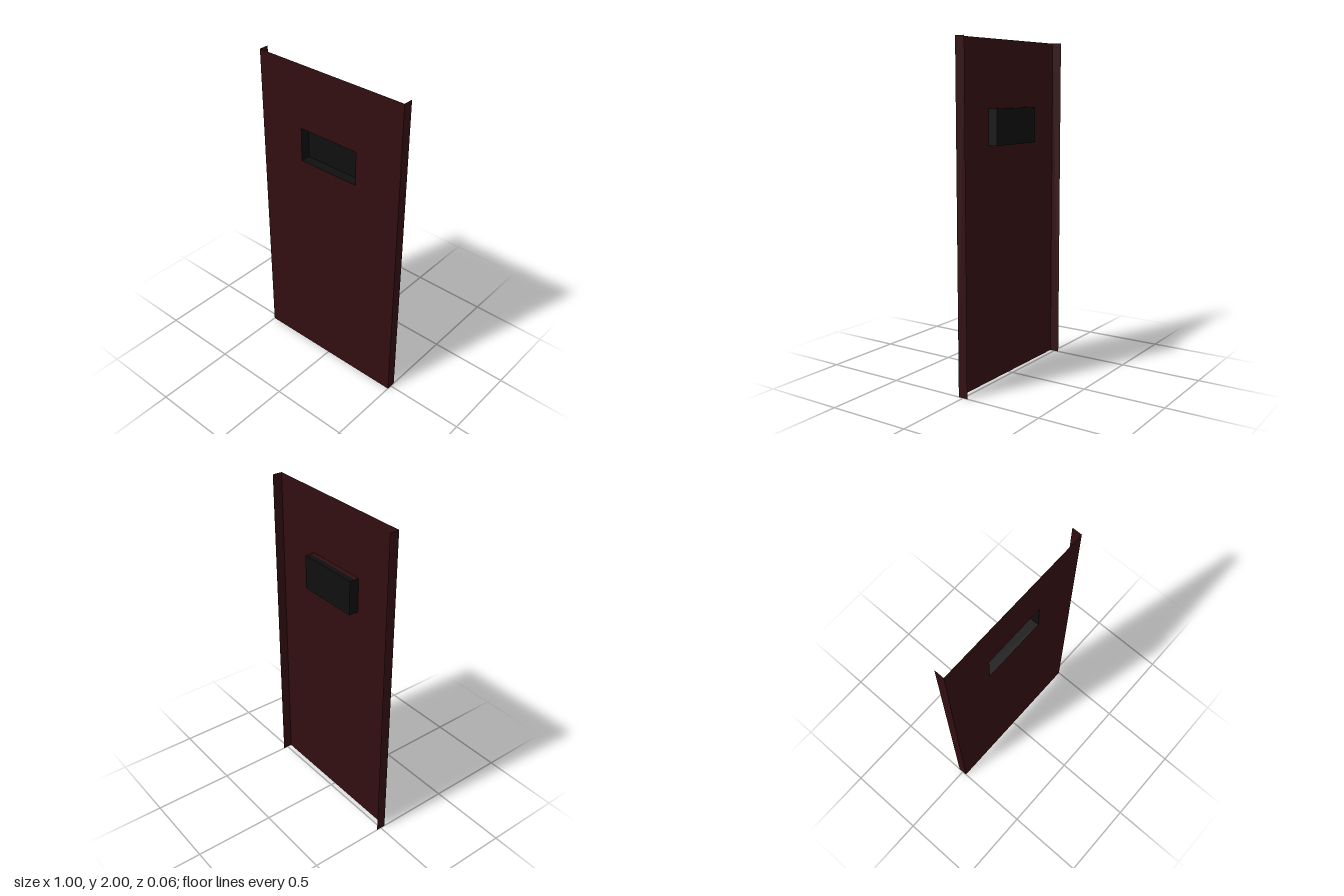
import * as THREE from 'three';

export function createModel() {
  const red = new THREE.MeshStandardMaterial({ name: 'darkRedPaint', color: 0x320e10, side: THREE.DoubleSide });
  const black = new THREE.MeshStandardMaterial({ name: 'blackGlass', color: 0x0f0f0f, side: THREE.DoubleSide });
  const W = 0.5, H = 2, D = 0.03;              // half width, height, half depth
  const w = 0.2, y0 = 1.4, y1 = 1.61;          // window half width, sill and head
  const model = new THREE.Group();
  model.name = 'door';

  const add = (name, geometry, material) => {
    const mesh = new THREE.Mesh(geometry, material);
    mesh.name = name;
    model.add(mesh);
    return mesh;
  };
  const sheet = (name, width, height, material, pos, rx = 0, ry = 0) => {
    const mesh = add(name, new THREE.PlaneGeometry(width, height), material);
    mesh.position.set(...pos);
    mesh.rotation.set(rx, ry, 0);
  };

  // Front panel with the window opening
  const panel = new THREE.Shape([[-W, 0], [W, 0], [W, H], [-W, H]].map(p => new THREE.Vector2(...p)));
  panel.holes.push(new THREE.Path([[-w, y0], [-w, y1], [w, y1], [w, y0]].map(p => new THREE.Vector2(...p))));
  add('frontPanel', new THREE.ShapeGeometry(panel).translate(0, 0, D), red);

  // Side flanges and window jambs
  const mid = (y0 + y1) / 2, tall = y1 - y0;
  for (const [side, s] of [['left', 1], ['right', -1]]) {
    sheet(side + 'Flange', 2 * D, H, red, [s * W, H / 2, 0], 0, s * Math.PI / 2);
    sheet(side + 'WindowJamb', 2 * D, tall, black, [s * w, mid, 0], 0, s * Math.PI / 2);
  }

  // Recessed window pane, sill and two-tone head
  sheet('windowPane', 2 * w, tall, black, [0, mid, -D]);
  sheet('windowSill', 2 * w, 2 * D, black, [0, y0, 0], Math.PI / 2);
  sheet('windowHeadBack', 2 * w, D + 0.004, black, [0, y1, -D / 2 + 0.002], -Math.PI / 2);
  sheet('windowHeadFront', 2 * w, D - 0.004, red, [0, y1, D / 2 + 0.002], -Math.PI / 2);

  return model;
}
